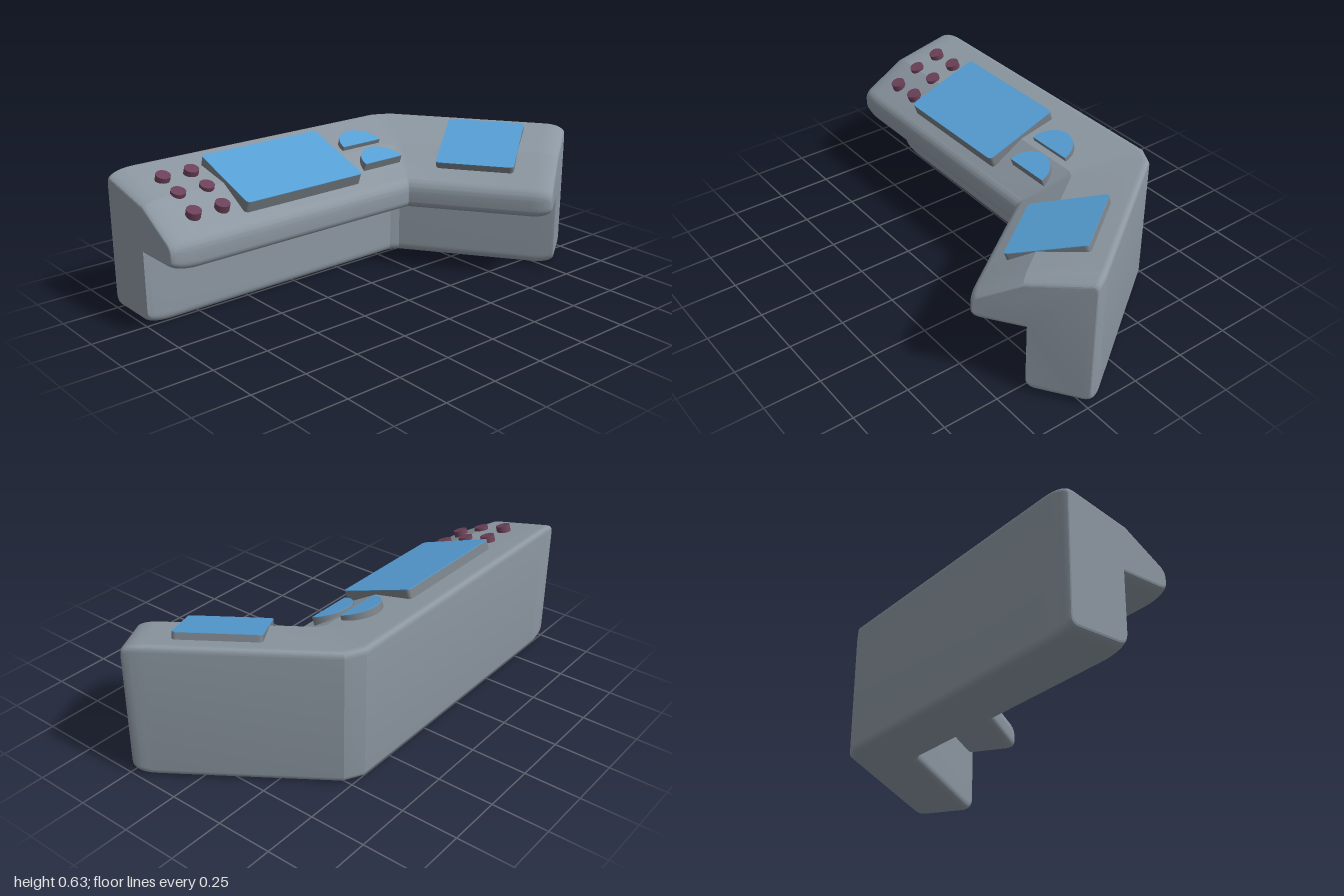
import * as THREE from 'three';
import { toCreasedNormals } from 'three/addons/utils/BufferGeometryUtils.js';

const DEPTH = 0.515;   // front to back of the desk
const BEND = 0.958;    // angle between main desk and wing
const TILT = 0.345;    // slope of the fittings

const mat = (name, color) => {
  const m = new THREE.MeshStandardMaterial({ color });
  m.name = name;
  return m;
};

// Polygon with rounded corners, each given as [x, y, radius]
function roundedShape(corners) {
  const s = new THREE.Shape();
  const n = corners.length;
  corners.forEach(([x, y, r], i) => {
    const toward = ([px, py]) => {
      const l = Math.hypot(px - x, py - y);
      return [x + (px - x) / l * r, y + (py - y) / l * r];
    };
    const a = toward(corners[(i + n - 1) % n]);
    const b = toward(corners[(i + 1) % n]);
    if (i === 0) s.moveTo(...a); else s.lineTo(...a);
    if (r > 0) s.quadraticCurveTo(x, y, ...b);
  });
  s.closePath();
  return s;
}

// Desk body: one side profile swept through the main run, the bend and the wing
function deskGeometry() {
  const profile = roundedShape([
    [0, 0, 0.04], [0, 0.617, 0.03], [0.3, 0.55, 0], [DEPTH, 0.42, 0.035],
    [DEPTH, 0.305, 0.045], [0.28, 0.305, 0], [0.28, 0, 0.045],
  ]).getPoints(9).filter((p, i, all) => i === 0 ||
    (p.distanceTo(all[i - 1]) > 1e-5 && p.distanceTo(all[0]) > 1e-5));
  const n = profile.length;
  const cos = Math.cos(BEND), sin = Math.sin(BEND);
  const positions = [];
  let rings = 0;

  // along(w) is the position along the run, w the distance from the front edge
  const addRing = (wing, along, inset) => {
    for (const p of profile) {
      const d = 0.25 + (p.x - 0.25) * (1 - 0.08 * inset);
      let y = 0.31 + (p.y - 0.31) * (1 - 0.12 * inset);
      if (p.x > 0.27 && p.y > 0.3) {
        y += 0.035 * inset * THREE.MathUtils.clamp((0.38 - p.y) / 0.075, 0, 1);
      }
      const x = along(DEPTH - p.x), z = d - DEPTH;
      if (wing) positions.push(0.22 + x * cos - z * sin, y, x * sin + z * cos);
      else positions.push(0.22 + x, y, z);
    }
    rings++;
  };

  const steps = 8;
  const mitre = (w) => w * Math.tan(BEND / 2) - 0.002 - 0.05 * w / DEPTH;
  for (let i = 0; i <= steps; i++) {
    const a = i / steps * Math.PI / 2;
    addRing(false, () => -1.22 + 0.12 * (1 - Math.cos(a)), 1 - Math.sin(a));
  }
  addRing(false, mitre, 0);
  addRing(true, (w) => -mitre(w), 0);
  for (let i = steps; i >= 0; i--) {
    const a = i / steps * Math.PI / 2;
    addRing(true, () => 0.64 - 0.09 * (1 - Math.cos(a)), 1 - Math.sin(a));
  }

  const index = [];
  for (let i = 0; i < rings - 1; i++) {
    for (let j = 0; j < n; j++) {
      const k = (j + 1) % n;
      const a = i * n + j, b = a + n, c = (i + 1) * n + k, d = i * n + k;
      index.push(a, c, b, a, d, c);
    }
  }
  const last = (rings - 1) * n;
  for (const [a, b, c] of THREE.ShapeUtils.triangulateShape(profile, [])) {
    // Order each cap triangle by its own signed area
    const [p, q, r] = [profile[a], profile[b], profile[c]];
    const ccw = (q.x - p.x) * (r.y - p.y) - (q.y - p.y) * (r.x - p.x) > 0;
    const [u, v] = ccw ? [b, c] : [c, b];
    index.push(a, u, v, last + a, last + v, last + u);
  }
  const g = new THREE.BufferGeometry();
  g.setAttribute('position', new THREE.Float32BufferAttribute(positions, 3));
  g.setIndex(index);
  return toCreasedNormals(g, 0.26);
}

// Shape lying flat, thickened upward from y0
function slab(shape, y0, height, material, name) {
  const g = new THREE.ExtrudeGeometry(shape, { depth: height, bevelEnabled: false, curveSegments: 16 });
  g.rotateX(-Math.PI / 2).translate(0, y0, 0);
  const m = new THREE.Mesh(g, material);
  m.name = name;
  return m;
}

export function createModel() {
  const shellGrey = mat('shell grey', 0x8c97a1);
  const bezelGrey = mat('bezel grey', 0x777e84);
  const screenBlue = mat('screen blue', 0x569fd6);
  const buttonPlum = mat('button plum', 0x6b4158);

  const model = new THREE.Group();
  model.name = 'controlDesk';
  const desk = new THREE.Mesh(deskGeometry(), shellGrey);
  desk.name = 'deskBody';
  model.add(desk);

  // Tilted display: grey housing with a thin blue face, y at the face centre
  const display = (parent, name, shape, x, y, z, thickness) => {
    const g = new THREE.Group();
    g.name = name;
    g.add(slab(shape, -thickness, thickness - 0.003, bezelGrey, name + 'Housing'));
    g.add(slab(shape, -0.003, 0.003, screenBlue, name + 'Face'));
    g.position.set(x, y, z);
    g.rotation.x = TILT;
    parent.add(g);
  };
  const panel = (w, h) => roundedShape([
    [-w / 2, -h / 2, 0.02], [w / 2, -h / 2, 0.02], [w / 2, h / 2, 0.02], [-w / 2, h / 2, 0.02],
  ]);
  display(model, 'mainScreen', panel(0.605, 0.362), -0.317, 0.57, -0.213, 0.052);

  // Half-round dials
  const half = new THREE.Shape();
  half.absarc(0, 0, 0.106, 0, Math.PI, false);
  half.closePath();
  display(model, 'rearDial', half, 0.145, 0.576, -0.238, 0.035);
  display(model, 'frontDial', half, 0.16, 0.525, -0.102, 0.042);

  // Wing screen, in the wing's own frame
  const wing = new THREE.Group();
  wing.name = 'wingFittings';
  wing.position.x = 0.22;
  wing.rotation.y = -BEND;
  model.add(wing);
  display(wing, 'wingScreen', panel(0.355, 0.352), 0.279, 0.567, -0.25, 0.036);

  // Two columns of three buttons
  const buttonGeometry = new THREE.CylinderGeometry(0.032, 0.032, 0.045, 16);
  for (const x of [-0.835, -0.7]) {
    for (const [y, z] of [[0.603, -0.33], [0.563, -0.215], [0.512, -0.103]]) {
      const b = new THREE.Mesh(buttonGeometry, buttonPlum);
      b.name = 'button';
      b.position.set(x, y - 0.021, z - 0.007);
      b.rotation.x = TILT;
      model.add(b);
    }
  }
  return model;
}
